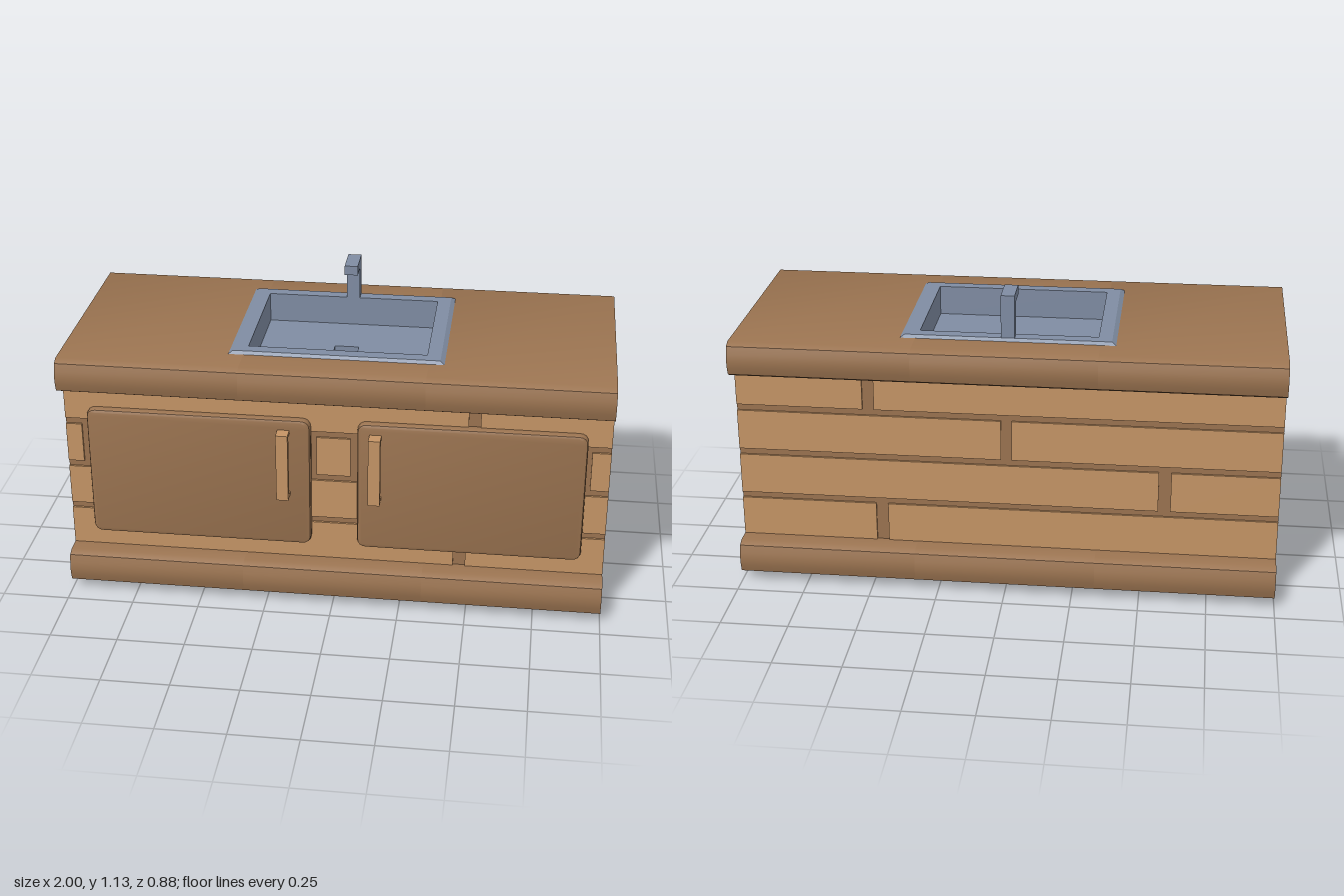
import * as THREE from 'three';
import { toCreasedNormals } from 'three/addons/utils/BufferGeometryUtils.js';

const mat = (name, color) => {
  const m = new THREE.MeshStandardMaterial({ color });
  m.name = name;
  return m;
};

export function createModel() {
  const model = new THREE.Group();
  model.name = 'sinkCabinet';
  const wood = mat('wood', 0x9a7350);
  const lightWood = mat('lightWood', 0xc49465);
  const metal = mat('metal', 0x7f8ca2);

  const add = (name, geometry, material, parent = model) => {
    const mesh = new THREE.Mesh(geometry, material);
    mesh.name = name;
    parent.add(mesh);
    return mesh;
  };
  // box given by its limits on each axis
  const box = (name, x0, x1, y0, y1, z0, z1, material, parent) =>
    add(name, new THREE.BoxGeometry(x1 - x0, y1 - y0, z1 - z0), material, parent)
      .position.set((x0 + x1) / 2, (y0 + y1) / 2, (z0 + z1) / 2);

  // Cabinet body: one half of the side outline, mirrored, run along x
  const half = [
    [0.34, 0], [0.34, 0.03], [0.405, 0.03], [0.43, 0.043], [0.438, 0.07], [0.441, 0.095],
    [0.438, 0.12], [0.43, 0.15], [0.405, 0.162], [0.34, 0.162],
    [0.34, 0.83], [0.405, 0.83], [0.43, 0.843], [0.438, 0.87], [0.441, 0.895],
    [0.438, 0.92], [0.43, 0.95], [0.405, 0.962],
  ];
  const notch = [[0.265, 0.962], [0.265, 0.81]];
  const bodyPart = (name, x0, x1, cut) => {
    const side = cut ? [...half, ...notch] : half;
    const outline = [...side, ...side.map(([u, v]) => [-u, v]).reverse()];
    const shape = new THREE.Shape(outline.map(([u, v]) => new THREE.Vector2(u, v)));
    const geo = new THREE.ExtrudeGeometry(shape, { depth: x1 - x0, bevelEnabled: false });
    geo.rotateY(Math.PI / 2).translate(x0, 0, 0);
    add(name, toCreasedNormals(geo, 0.75), wood);
  };
  bodyPart('bodyRight', -1, -0.335, false);
  bodyPart('bodyMiddle', -0.335, 0.335, true);
  bodyPart('bodyLeft', 0.335, 1, false);

  // Planks: rows with the x limits of each board
  const rows = [[0.162, 0.312], [0.335, 0.49], [0.514, 0.668], [0.692, 0.83]];
  const frontBoards = [
    [[-1, 0.445], [0.49, 1]],
    [[-1, -0.6], [-0.56, 1]],
    [[-1, -0.94], [-0.065, 0.06], [0.932, 1]],
    [[-1, 0.487], [0.53, 1]],
  ];
  const backBoards = [
    [[-1, 0.445], [0.49, 1]],
    [[-1, -0.605], [-0.56, 1]],
    [[-1, -0.02], [0.02, 1]],
    [[-1, 0.487], [0.53, 1]],
  ];
  const planks = (name, boards, z0, z1) => {
    const group = new THREE.Group();
    group.name = name;
    model.add(group);
    rows.forEach(([y0, y1], i) => boards[i].forEach(([x0, x1]) =>
      box('plank', x0, x1, y0, y1, z0, z1, lightWood, group)));
  };
  planks('frontPlanks', frontBoards, 0.335, 0.348);
  planks('backPlanks', backBoards, -0.348, -0.335);

  // Doors: rounded panels with a softened front edge
  const door = (name, x0, x1) => {
    const b = 0.012, r = 0.022;
    const [l, rt, bt, tp] = [x0 + b, x1 - b, 0.23 + b, 0.745 - b];
    const s = new THREE.Shape();
    s.moveTo(l + r, bt).lineTo(rt - r, bt).quadraticCurveTo(rt, bt, rt, bt + r);
    s.lineTo(rt, tp - r).quadraticCurveTo(rt, tp, rt - r, tp);
    s.lineTo(l + r, tp).quadraticCurveTo(l, tp, l, tp - r);
    s.lineTo(l, bt + r).quadraticCurveTo(l, bt, l + r, bt);
    const geo = new THREE.ExtrudeGeometry(s, {
      depth: 0.023, bevelThickness: 0.012, bevelSize: b, bevelSegments: 2, curveSegments: 4,
    });
    geo.translate(0, 0, 0.341);
    add(name, toCreasedNormals(geo, 0.6), wood);
  };
  door('rightDoor', -0.913, -0.085);
  door('leftDoor', 0.087, 0.915);

  // Handles: bar on two feet
  const handle = (name, x0, x1) => {
    const group = new THREE.Group();
    group.name = name;
    model.add(group);
    box('bar', x0, x1, 0.44, 0.705, 0.402, 0.425, lightWood, group);
    box('lowerFoot', x0, x1, 0.44, 0.454, 0.37, 0.402, lightWood, group);
    box('upperFoot', x0, x1, 0.691, 0.705, 0.37, 0.402, lightWood, group);
  };
  handle('rightHandle', -0.204, -0.16);
  handle('leftHandle', 0.132, 0.176);

  // Sink: rectangular loops from the rim's outer edge down to the drain
  const loops = [
    [0.392, 0.303, 0.961], [0.375, 0.29, 0.972], [0.325, 0.245, 0.972],
    [0.325, 0.245, 0.86], [0.045, 0.035, 0.86], [0.045, 0.035, 0.835],
  ];
  const corners = ([w, d, y]) => [[-w, y, d], [w, y, d], [w, y, -d], [-w, y, -d]];
  const pos = [];
  const quad = (a, b, c, d) => pos.push(...a, ...b, ...c, ...a, ...c, ...d);
  for (let i = 0; i < loops.length - 1; i++) {
    const a = corners(loops[i]), b = corners(loops[i + 1]);
    for (let k = 0; k < 4; k++) quad(a[k], a[(k + 1) % 4], b[(k + 1) % 4], b[k]);
  }
  quad(...corners(loops[loops.length - 1]));
  const sink = new THREE.BufferGeometry();
  sink.setAttribute('position', new THREE.Float32BufferAttribute(pos, 3));
  sink.computeVertexNormals();
  add('sinkBasin', sink, metal).position.z = -0.003;

  // Faucet
  box('faucetPost', -0.025, 0.025, 0.96, 1.096, -0.293, -0.246, metal);
  box('faucetSpout', -0.025, 0.025, 1.096, 1.132, -0.293, -0.171, metal);

  return model;
}
